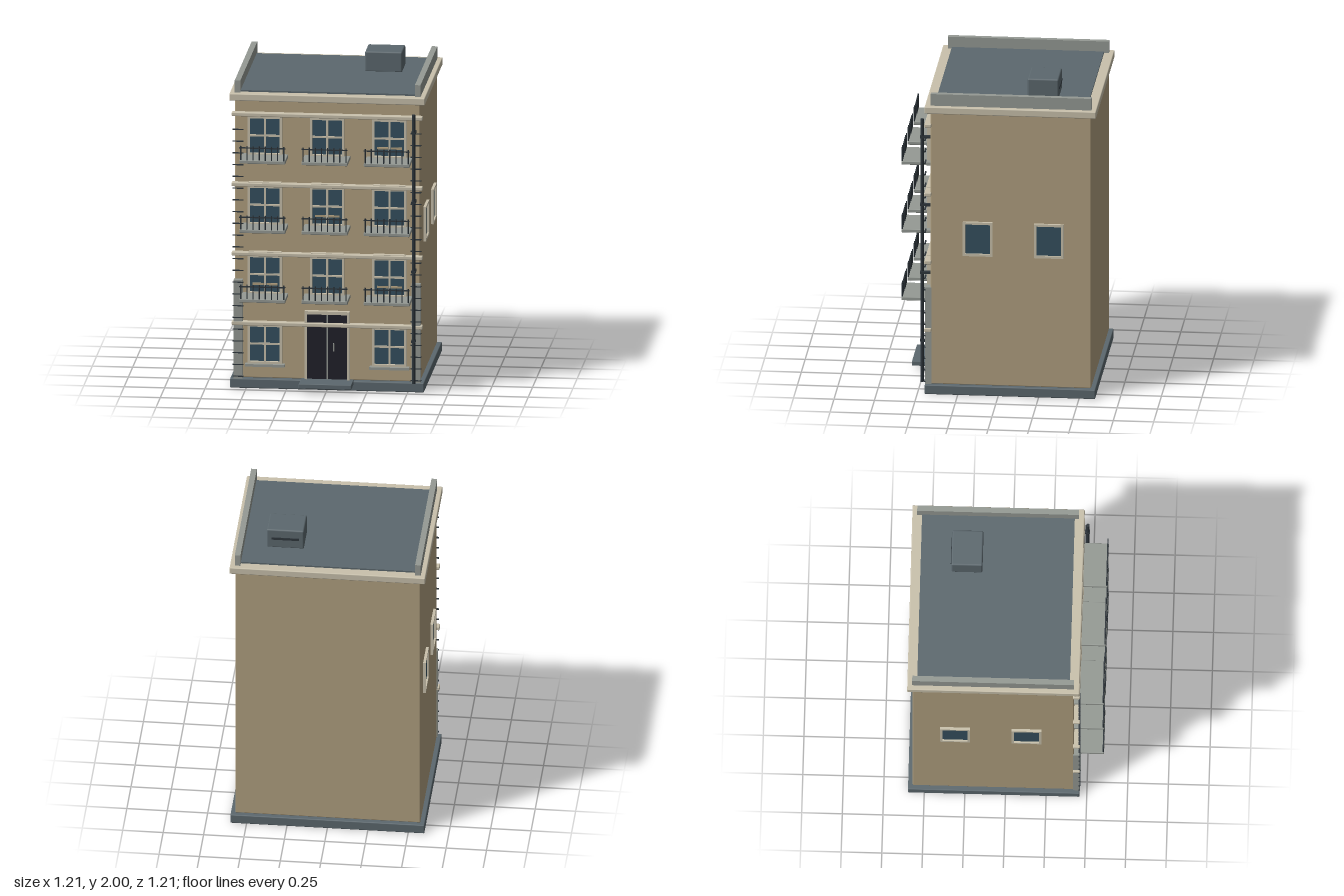
import * as THREE from 'three';
import { RoundedBoxGeometry } from 'three/addons/geometries/RoundedBoxGeometry.js';

const paint = (name, color) => {
  const m = new THREE.MeshStandardMaterial({ color });
  m.name = name;
  return m;
};

export function createModel() {
  const wall = paint('tan wall', 0xb1a080);
  const cream = paint('cream trim', 0xc9c1ac);
  const slate = paint('slate', 0x5c686e);
  const stone = paint('grey stone', 0x959a94);
  const glass = paint('blue glass', 0x35505f);
  const doorPaint = paint('door black', 0x20202a);
  const iron = paint('dark iron', 0x2e363c);

  const model = new THREE.Group();
  model.name = 'townhouse';

  const group = (name, x = 0, y = 0, z = 0, parent = model) => {
    const g = new THREE.Group();
    g.name = name;
    g.position.set(x, y, z);
    parent.add(g);
    return g;
  };
  // Box given by its extents on each axis
  const box = (name, mat, [x0, x1], [y0, y1], [z0, z1], parent = model, round = 0) => {
    const size = [x1 - x0, y1 - y0, z1 - z0];
    const geo = round ? new RoundedBoxGeometry(...size, 2, round) : new THREE.BoxGeometry(...size);
    const m = new THREE.Mesh(geo, mat);
    m.name = name;
    m.position.set((x0 + x1) / 2, (y0 + y1) / 2, (z0 + z1) / 2);
    parent.add(m);
    return m;
  };
  const rod = (name, mat, r, h, x, y, z, parent) => {
    const m = new THREE.Mesh(new THREE.CylinderGeometry(r, r, h, 10), mat);
    m.name = name;
    m.position.set(x, y, z);
    parent.add(m);
    return m;
  };

  // Main masses
  box('plinth', slate, [-0.6, 0.6], [0, 0.06], [-0.6, 0.455], model, 0.006);
  box('walls', wall, [-0.572, 0.572], [0.06, 1.82], [-0.572, 0.42], model, 0.006);
  box('cornice', cream, [-0.605, 0.605], [1.82, 1.865], [-0.605, 0.455], model, 0.006);
  box('roof', slate, [-0.545, 0.545], [1.86, 1.875], [-0.545, 0.395]);
  for (const s of [-1, 1]) {
    const x = [0.54 * s, 0.575 * s].sort((a, b) => a - b);
    box('parapet', stone, x, [1.86, 1.94], [-0.575, 0.42]);
  }

  // Roof unit with a slit at the back
  const unit = group('roofUnit');
  box('unitBody', slate, [0.17, 0.4], [1.87, 2], [-0.355, -0.163], unit, 0.01);
  box('unitSlit', iron, [0.2, 0.37], [1.93, 1.945], [-0.359, -0.35], unit);

  // Floor bands
  for (const y of [0.41, 0.85, 1.29, 1.735]) {
    box('floorBand', cream, [-0.59, 0.59], [y - 0.012, y + 0.012], [0.415, 0.458], model, 0.005);
  }

  // Framed pane facing +z, centred on its group's origin
  const pane = (parent, w, h, t, depth, bars) => {
    box('glass', glass, [-w / 2 + t, w / 2 - t], [-h / 2 + t, h / 2 - t], [0, depth * 0.4], parent);
    for (const s of [-1, 1]) {
      const a = (w / 2 - t / 2) * s, b = (h / 2 - t / 2) * s;
      box('frameSide', cream, [a - t / 2, a + t / 2], [-h / 2, h / 2], [0, depth], parent);
      box('frameRail', cream, [-w / 2 + t, w / 2 - t], [b - t / 2, b + t / 2], [0, depth], parent);
    }
    if (bars) {
      box('mullion', cream, [-0.006, 0.006], [-h / 2 + t, h / 2 - t], [0, depth * 0.7], parent);
      box('transom', cream, [-w / 2 + t, w / 2 - t], [-0.006, 0.006], [0, depth * 0.65], parent);
    }
  };

  const columns = [-0.385, 0, 0.385];
  const floors = [0.28, 0.72, 1.16, 1.6];
  const slatted = ['1,0', '1,2', '2,1', '3,2'];

  floors.forEach((y, f) => columns.forEach((x, c) => {
    if (f === 0 && c === 1) return; // the door sits here
    const win = group('frontWindow', x, y, 0.42);
    pane(win, 0.212, 0.248, 0.014, 0.03, true);
    if (slatted.includes(`${f},${c}`)) {
      for (const s of [-1, 1]) {
        box('slat', wall, [s * 0.042 - 0.034, s * 0.042 + 0.034], [-0.068, -0.055], [0.01, 0.018], win);
      }
    }
    if (f === 0) {
      box('windowSill', stone, [-0.123, 0.123], [-0.142, -0.126], [0, 0.04], win);
      return;
    }
    box('lintel', cream, [-0.1, 0.1], [0.12, 0.146], [0, 0.034], win);

    // Balcony slab and railing
    const balcony = group('balcony', x, y - 0.118, 0.42);
    box('balconySlab', stone, [-0.142, 0.142], [-0.022, 0], [0, 0.185], balcony, 0.004);
    box('topRail', iron, [-0.142, 0.142], [0.074, 0.081], [0.176, 0.183], balcony);
    for (let i = 0; i < 8; i++) {
      rod('railPost', iron, 0.004, 0.09, -0.133 + i * 0.038, 0.045, 0.18, balcony);
    }
  }));

  // Entrance
  const door = group('entrance', 0, 0, 0.42);
  box('doorLeaves', doorPaint, [-0.125, 0.125], [0.06, 0.477], [0, 0.014], door);
  box('doorJoint', stone, [-0.004, 0.004], [0.06, 0.477], [0, 0.018], door);
  for (const s of [-1, 1]) box('doorJamb', cream, [s * 0.132 - 0.007, s * 0.132 + 0.007], [0.06, 0.497], [0, 0.03], door);
  box('doorHead', cream, [-0.139, 0.139], [0.477, 0.497], [0, 0.032], door);
  rod('doorHandle', stone, 0.004, 0.05, 0.04, 0.27, 0.022, door);
  box('doorStep', slate, [-0.163, 0.163], [0.035, 0.065], [0, 0.155], door, 0.004);

  // Side windows on both walls
  for (const s of [-1, 1]) for (const z of [0.128, -0.312]) {
    const win = group('sideWindow', 0.57 * s, 1.01, z);
    win.rotation.y = s * Math.PI / 2;
    pane(win, 0.184, 0.22, 0.015, 0.019, false);
  }

  // Corner piers and the course strips above them
  for (const s of [-1, 1]) {
    const corner = group('corner', 0.55 * s, 0, 0);
    box('cornerPier', stone, [-0.028, 0.028], [0.06, 0.685], [0.415, 0.455], corner);
    for (let i = 0; i < 22; i++) {
      const y = 0.075 + i * 0.0745;
      box('courseStrip', iron, [-0.033, 0.033], [y - 0.003, y + 0.003], [0.45, 0.459], corner);
    }
  }

  // Drainpipe
  const pipe = group('drainpipe');
  rod('pipe', iron, 0.011, 1.705, 0.538, 0.913, 0.476, pipe);
  for (const y of [0.33, 0.77, 1.21, 1.65]) {
    box('pipeBracket', iron, [0.525, 0.551], [y - 0.007, y + 0.007], [0.42, 0.488], pipe);
  }

  return model;
}
